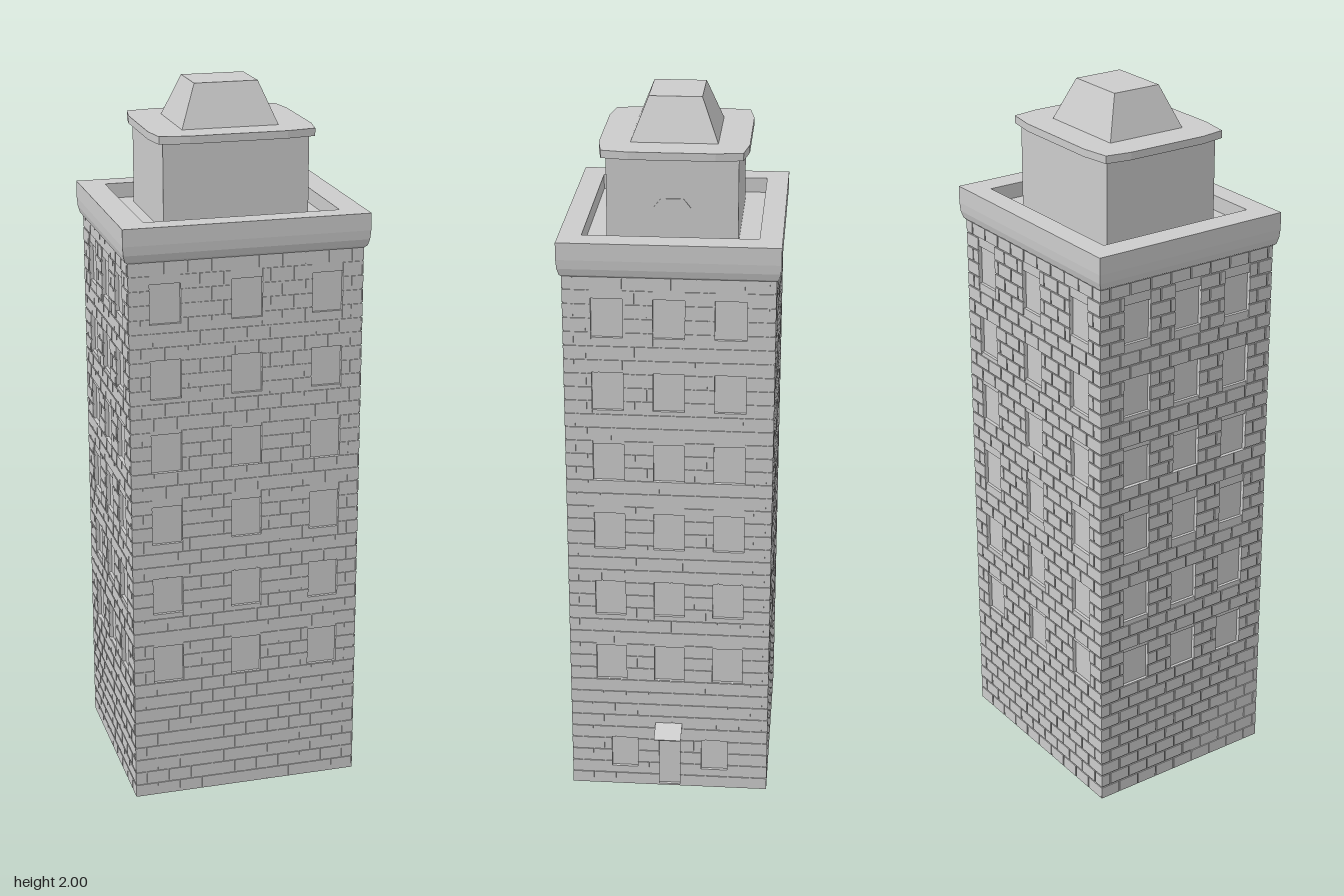
import * as THREE from 'three';
import { mergeGeometries } from 'three/addons/utils/BufferGeometryUtils.js';

const CX = -0.02;              // tower axis in x
const W = 0.65, D = 0.566;     // tower footprint
const H = 1.59;                // wall height
const RELIEF = 0.003;          // how far bricks stand proud

const mat = new THREE.MeshStandardMaterial({ color: 0xcccccc, flatShading: true, side: THREE.DoubleSide });

function add(parent, name, geometry, x = 0, y = 0, z = 0) {
  const mesh = new THREE.Mesh(geometry, mat);
  mesh.name = name;
  mesh.position.set(x, y, z);
  parent.add(mesh);
  return mesh;
}

// Rectangular loft: each section is [half width, half depth, y]
function loft(sections) {
  const pos = [];
  const corner = ([w, d, y], i) => [[w, y, d], [w, y, -d], [-w, y, -d], [-w, y, d]][i % 4];
  for (let s = 0; s < sections.length - 1; s++) {
    for (let i = 0; i < 4; i++) {
      const a = corner(sections[s], i), b = corner(sections[s], i + 1);
      const c = corner(sections[s + 1], i + 1), d = corner(sections[s + 1], i);
      pos.push(...a, ...b, ...c, ...a, ...c, ...d);
    }
  }
  const g = new THREE.BufferGeometry();
  g.setAttribute('position', new THREE.Float32BufferAttribute(pos, 3));
  g.computeVertexNormals();
  return g;
}

// Openings are { x, y, w, h } around their centre
function windowGrid(columns) {
  const list = [];
  for (let row = 0; row < 6; row++)
    for (const x of columns) list.push({ x, y: 1.46 - row * 0.21, w: 0.085, h: 0.11 });
  return list;
}

// Staggered courses of bricks, cut back around the openings
function brickGeometry(width, openings) {
  const course = 0.0395, length = 0.065, gap = 0.004, parts = [];
  for (let row = 0; row < 40; row++) {
    const y = (row + 0.5) * course;
    const blocked = openings.filter(o => Math.abs(o.y - y) < (o.h + course) / 2 - 0.006);
    for (let x = -width / 2 - (row % 2) * length / 2; x < width / 2; x += length) {
      let pieces = [[Math.max(x, -width / 2), Math.min(x + length - gap, width / 2)]];
      for (const o of blocked) {
        const l = o.x - o.w / 2, r = o.x + o.w / 2;
        pieces = pieces.flatMap(([a, b]) => (b <= l || a >= r) ? [[a, b]] : [[a, l], [r, b]]);
      }
      for (const [a, b] of pieces) {
        if (b - a < 0.006) continue;
        const g = new THREE.BoxGeometry(b - a, course - gap, RELIEF);
        parts.push(g.translate((a + b) / 2, y, -RELIEF / 2));
      }
    }
  }
  return mergeGeometries(parts);
}

// One wall in its own XY plane, outer face at z = 0
function makeWall(name, width, openings) {
  const wall = new THREE.Group();
  wall.name = name;
  const thickness = 0.009, hw = width / 2 - RELIEF;
  const shape = new THREE.Shape([[-hw, 0], [hw, 0], [hw, H], [-hw, H]].map(p => new THREE.Vector2(...p)));
  for (const { x, y, w, h } of openings) {
    const l = x - w / 2, r = x + w / 2, b = y - h / 2, t = y + h / 2;
    shape.holes.push(new THREE.Path([[l, b], [l, t], [r, t], [r, b]].map(p => new THREE.Vector2(...p))));
  }
  const slab = new THREE.ExtrudeGeometry(shape, { depth: thickness, bevelEnabled: false });
  add(wall, 'wallPanel', slab, 0, 0, -thickness - RELIEF);
  add(wall, 'bricks', brickGeometry(width, openings));
  const panes = openings.map(o => new THREE.PlaneGeometry(o.w, o.h).translate(o.x, o.y, -0.0115));
  add(wall, 'windowPanes', mergeGeometries(panes));
  return wall;
}

export function createModel() {
  const model = new THREE.Group();
  model.name = 'brickTower';
  const tower = new THREE.Group();
  tower.name = 'tower';
  tower.position.x = CX;
  model.add(tower);

  // Four brick walls, open underneath
  const wide = windowGrid([-0.225, 0, 0.225]);
  const narrow = windowGrid([-0.165, 0, 0.165]);
  const entrance = [
    { x: 0, y: 0.09, w: 0.06, h: 0.17 },
    { x: -0.13, y: 0.11, w: 0.075, h: 0.1 },
    { x: 0.13, y: 0.11, w: 0.075, h: 0.1 },
  ];
  [
    ['frontWall', W, wide, 0, 0, D / 2],
    ['leftWall', D, [...narrow, ...entrance], Math.PI / 2, W / 2, 0],
    ['backWall', W, wide, Math.PI, 0, -D / 2],
    ['rightWall', D, narrow, -Math.PI / 2, -W / 2, 0],
  ].forEach(([name, width, openings, turn, x, z]) => {
    const wall = makeWall(name, width, openings);
    wall.rotation.y = turn;
    wall.position.set(x, 0, z);
    tower.add(wall);
  });

  // Sloping awning over the entrance
  const awning = add(tower, 'awning', new THREE.BoxGeometry(0.064, 0.004, 0.077), W / 2 + 0.025, 0.202, 0.002);
  awning.rotation.z = -0.4;

  // Flared cornice, parapet and sunken roof deck
  add(tower, 'cornice', loft([
    [0.324, 0.282, 1.575], [0.333, 0.288, 1.582], [0.338, 0.293, 1.6], [0.34, 0.295, 1.625],
    [0.34, 0.295, 1.672], [0.27, 0.234, 1.672], [0.27, 0.234, 1.63], [0, 0, 1.63],
  ]));

  // Rooftop room with its door
  add(tower, 'rooftopRoom', new THREE.BoxGeometry(0.402, 0.24, 0.35), 0, 1.75, 0);
  const door = new THREE.Shape([[-0.05, 0], [0.05, 0], [0.05, 0.1], [0.03, 0.125], [-0.03, 0.125], [-0.05, 0.1]]
    .map(p => new THREE.Vector2(...p)));
  const doorMesh = add(tower, 'rooftopDoor',
    new THREE.ExtrudeGeometry(door, { depth: 0.003, bevelEnabled: false }), 0.201, 1.63, 0);
  doorMesh.rotation.y = Math.PI / 2;

  // Overhanging roof slab with bowed sides
  const outline = [[0.226, 0.115], [0.214, 0.187], [0.134, 0.2]];
  const mirror = (sx, sz) => outline.map(([x, z]) => new THREE.Vector2(x * sx, z * sz));
  const slabShape = new THREE.Shape([
    ...mirror(1, 1), ...mirror(-1, 1).reverse(), ...mirror(-1, -1), ...mirror(1, -1).reverse(),
  ]);
  const slab = new THREE.ExtrudeGeometry(slabShape, { depth: 0.021, bevelEnabled: false });
  add(tower, 'roofSlab', slab.rotateX(-Math.PI / 2), 0, 1.865, 0);

  // Truncated pyramid cap
  add(tower, 'roofCap', loft([[0.134, 0.117, 1.885], [0.088, 0.071, 2], [0, 0, 2]]));

  return model;
}
